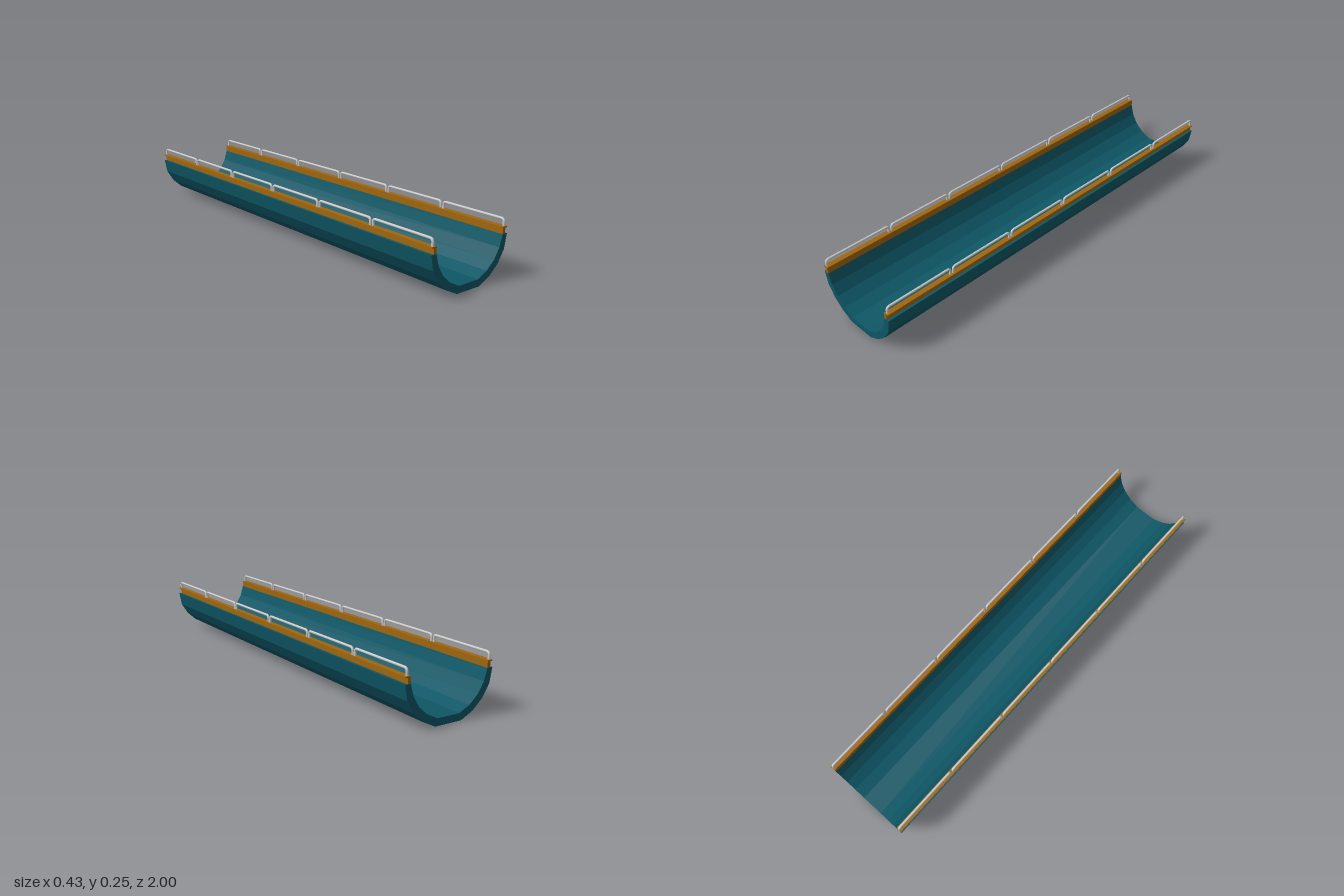
import * as THREE from 'three';

const LENGTH = 2;
const LOOPS = 6;

const teal = new THREE.MeshStandardMaterial({ color: 0x0e5766, flatShading: true });
const amber = new THREE.MeshStandardMaterial({ color: 0xa0660f, flatShading: true });
const grey = new THREE.MeshStandardMaterial({ color: 0xcccccc });

// Extrudes a closed x/y outline along the full length, centred on z
function extrudeAlong(points, material, name) {
  const shape = new THREE.Shape(points.map(([x, y]) => new THREE.Vector2(x, y)));
  const geometry = new THREE.ExtrudeGeometry(shape, { depth: LENGTH, bevelEnabled: false });
  geometry.translate(0, 0, -LENGTH / 2);
  const mesh = new THREE.Mesh(geometry, material);
  mesh.name = name;
  return mesh;
}

const mirror = (points) => points.map(([x, y]) => [-x, y]).reverse();

// Handrail hoop: two legs joined by a bar with rounded bends
function hoopGeometry(span) {
  const top = 0.2475, foot = 0.213, bend = 0.014, h = span / 2;
  const v = (y, z) => new THREE.Vector3(0, y, z);
  const path = new THREE.CurvePath();
  path.add(new THREE.LineCurve3(v(foot, h), v(top - bend, h)));
  path.add(new THREE.QuadraticBezierCurve3(v(top - bend, h), v(top, h), v(top, h - bend)));
  path.add(new THREE.LineCurve3(v(top, h - bend), v(top, bend - h)));
  path.add(new THREE.QuadraticBezierCurve3(v(top, bend - h), v(top, -h), v(top - bend, -h)));
  path.add(new THREE.LineCurve3(v(top - bend, -h), v(foot, -h)));
  return new THREE.TubeGeometry(path, 120, 0.0055, 10, false);
}

export function createModel() {
  const model = new THREE.Group();
  model.name = 'halfPipeTrough';

  // Faceted trough shell, right half of the profile mirrored to the left
  const outer = [[0.064, 0], [0.121, 0.028], [0.168, 0.07], [0.202, 0.124], [0.214, 0.188]];
  const inner = [[0.188, 0.188], [0.173, 0.137], [0.145, 0.091], [0.104, 0.055], [0.0535, 0.031]];
  const half = [...outer, ...inner];
  model.add(extrudeAlong([...half, ...mirror(half)], teal, 'troughShell'));

  // Edge rail section: upright web with an outward flange
  const rail = [[0.188, 0.188], [0.202, 0.188], [0.202, 0.213],
    [0.213, 0.213], [0.213, 0.218], [0.188, 0.218]];

  const pitch = LENGTH / LOOPS;
  const hoop = hoopGeometry(pitch - 0.016);

  for (const side of [1, -1]) {
    const label = side > 0 ? 'left' : 'right';
    model.add(extrudeAlong(side > 0 ? rail : mirror(rail), amber, label + 'EdgeRail'));

    // Row of handrail hoops on the edge rail
    const hoops = new THREE.Group();
    hoops.name = label + 'Handrails';
    for (let i = 0; i < LOOPS; i++) {
      const mesh = new THREE.Mesh(hoop, grey);
      mesh.name = 'handrail' + (i + 1);
      mesh.position.set(side * 0.2015, 0, -LENGTH / 2 + pitch * (i + 0.5));
      hoops.add(mesh);
    }
    model.add(hoops);
  }
  return model;
}
